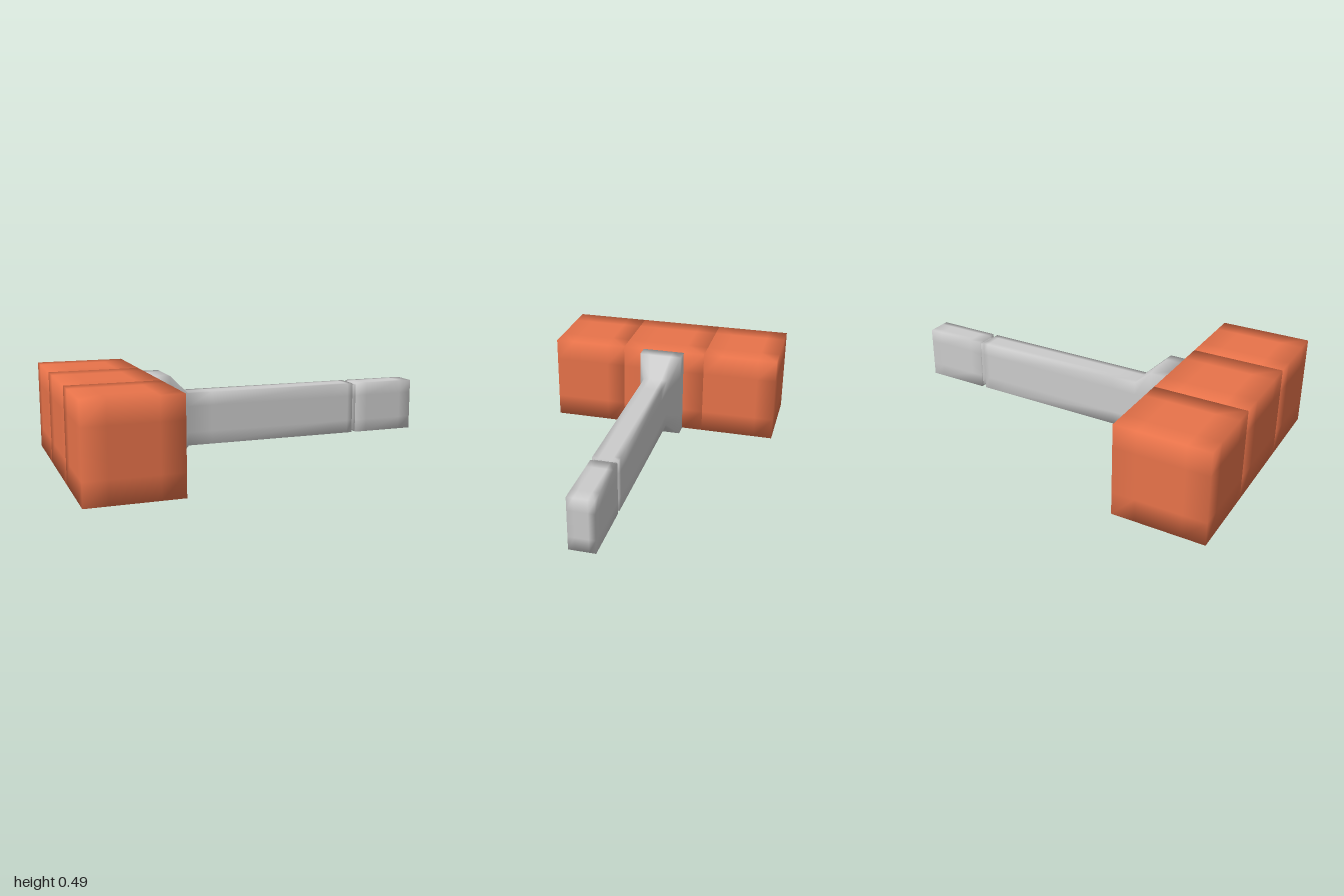
import * as THREE from 'three';
import { mergeVertices } from 'three/addons/utils/BufferGeometryUtils.js';

const MID_Y = 0.243; // height of the centre line

// Rectangular block running along x; each station is [x, half height, half depth].
// Corners share vertices, so the shading rolls softly over the edges.
function softBlock(name, material, stations, z = 0) {
  const n = stations.length - 1;
  const geometry = new THREE.BoxGeometry(1, 1, 1, n, 4, 4);
  const p = geometry.attributes.position;
  for (let i = 0; i < p.count; i++) {
    const [x, hy, hz] = stations[Math.round((p.getX(i) + 0.5) * n)];
    p.setXYZ(i, x, MID_Y + p.getY(i) * 2 * hy, z + p.getZ(i) * 2 * hz);
  }
  geometry.deleteAttribute('normal');
  geometry.deleteAttribute('uv');
  const merged = mergeVertices(geometry, 1e-4);
  merged.computeVertexNormals();
  const mesh = new THREE.Mesh(merged, material);
  mesh.name = name;
  return mesh;
}

export function createModel() {
  const model = new THREE.Group();
  model.name = 'hammer';
  const orange = new THREE.MeshStandardMaterial({ color: 0xe8734a });
  const grey = new THREE.MeshStandardMaterial({ color: 0xcccccc });

  // Head: a middle block and two striking blocks, all flush
  const head = new THREE.Group();
  head.name = 'head';
  const headStations = (halfDepth) =>
    [-1, -0.88, -0.76, -0.64, -0.52].map((x) => [x, MID_Y, halfDepth]);
  head.add(softBlock('headMiddle', orange, headStations(0.24)));
  for (const side of [1, -1]) {
    const name = side > 0 ? 'frontStrikingBlock' : 'backStrikingBlock';
    head.add(softBlock(name, orange, headStations(0.21), side * 0.45));
  }

  // Handle: flared collar and shaft, a shallow groove, then the grip end
  const handle = new THREE.Group();
  handle.name = 'handle';
  handle.add(
    softBlock('collarAndShaft', grey, [
      [-0.52, MID_Y, 0.12], [-0.44, MID_Y, 0.12], [-0.33, 0.139, 0.067],
      [-0.2, 0.139, 0.067], [0.5, 0.139, 0.067], [0.6, 0.139, 0.067], [0.63, 0.139, 0.067],
    ]),
    softBlock('groove', grey, [[0.62, 0.128, 0.057], [0.67, 0.128, 0.057]]),
    softBlock('gripEnd', grey, [
      [0.655, 0.139, 0.067], [0.72, 0.139, 0.067], [0.93, 0.139, 0.067], [1, 0.139, 0.067],
    ]),
  );

  model.add(head, handle);
  return model;
}
